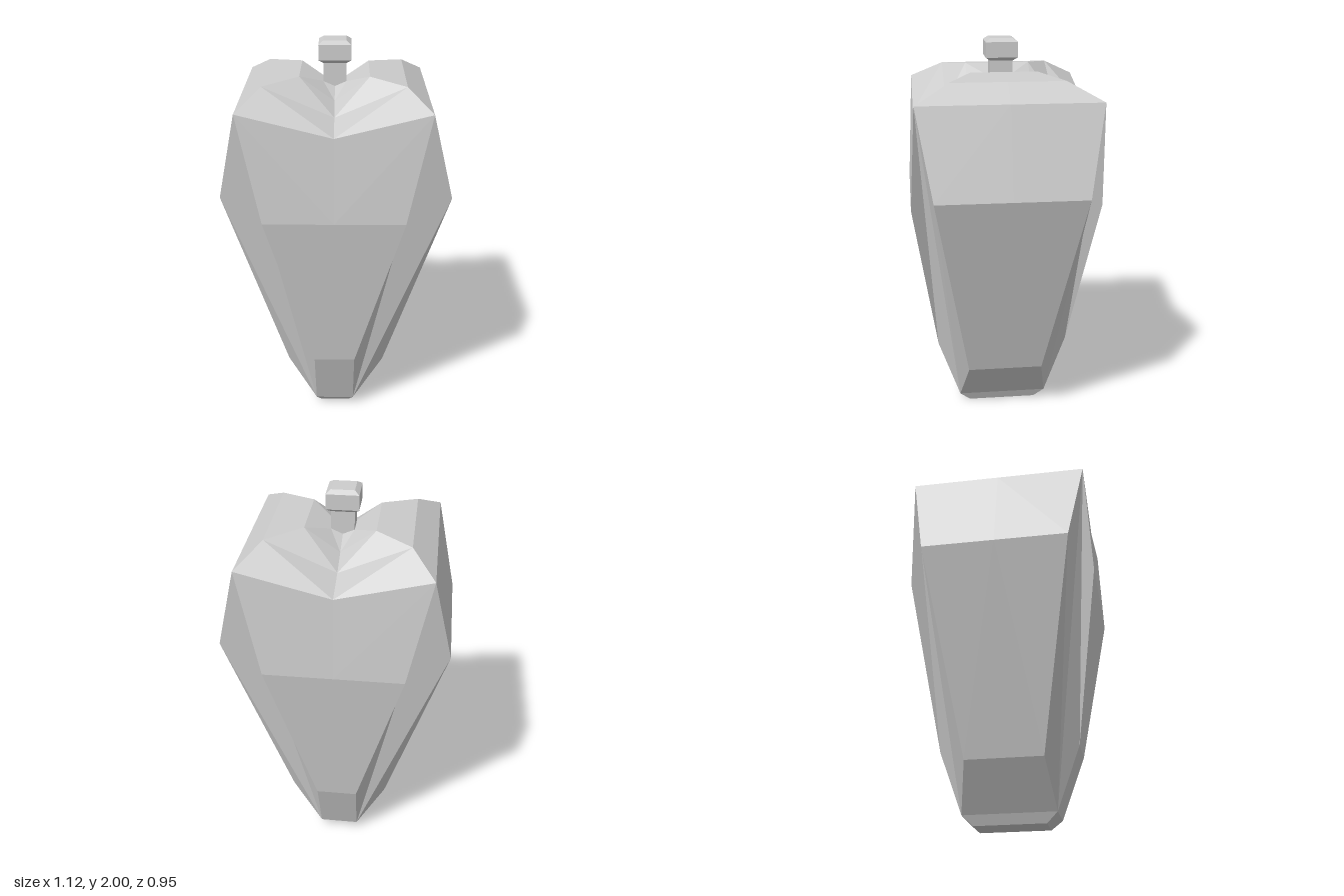
import * as THREE from 'three';

// Points are [x, y, z, xShift] for one quadrant (+x, +z); faces are mirrored to the other three.
const SHIFT = -0.01;

function mirrored(faces) {
  const pos = [];
  const put = ([x, y, z, dx = SHIFT], sx, sz) => pos.push(sx * x + dx, y, sz * z);
  for (const sx of [1, -1]) for (const sz of [1, -1]) for (const face of faces) {
    const f = sx * sz > 0 ? face : [...face].reverse();
    // keep the same diagonal on mirrored faces
    if (sx * sz < 0) f.unshift(f.pop());
    for (let i = 1; i < f.length - 1; i++) [f[0], f[i], f[i + 1]].forEach((p) => put(p, sx, sz));
  }
  const g = new THREE.BufferGeometry();
  g.setAttribute('position', new THREE.Float32BufferAttribute(pos, 3));
  g.computeVertexNormals();
  return g;
}

// Strip from the front centre line to the corner chain; midY lets the centre line dip
function frontStrip(chain, midY = {}) {
  const mid = (i) => [0, midY[i] ?? chain[i][1], chain[i][2]];
  return chain.slice(1).map((p, i) => [mid(i), chain[i], p, mid(i + 1)]);
}

// Strip from the corner chain round to the middle of the side
function sideStrip(chain) {
  const mid = (p) => [p[0], p[1], 0, p[3]];
  return chain.slice(1).map((p, i) => [chain[i], mid(chain[i]), mid(p), p]);
}

// Flat cap at the end of a chain
function cap([x, y, z], up) {
  const f = [[0, y, 0], [x, y, 0], [x, y, z], [0, y, z]];
  return up ? f.reverse() : f;
}

export function createModel() {
  const glass = new THREE.MeshStandardMaterial({ color: 0xcccccc });
  glass.name = 'pale grey';
  glass.flatShading = true;

  const group = new THREE.Group();
  const add = (name, faces) => {
    const mesh = new THREE.Mesh(mirrored(faces), glass);
    mesh.name = name;
    group.add(mesh);
  };

  // Key corners of the faceted heart
  const foot = [0.078, 0, 0.18];
  const base = [0.1, 0.05, 0.235];
  const frontLow = [0.105, 0.37, 0.35];
  const frontHigh = [0.345, 1.21, 0.475];
  const sideLow = [0.255, 0.28, 0.195, -0.005];
  const sideHigh = [0.562, 1.305, 0.37, -0.002];
  const shoulder = [0.46, 1.745, 0.447];
  const lobe = [0.345, 1.83, 0.28];
  const crest = [0.17, 1.85, 0.165];
  const neckBase = [0.057, 1.8, 0.057];

  // Front and back panels, side panels and the ridged corners between them
  add('bottleBody', [
    cap(foot, false),
    ...frontStrip([foot, base, frontLow, frontHigh, shoulder], { 4: 1.63 }),
    ...sideStrip([foot, base, sideLow, sideHigh, shoulder]),
    [frontLow, base, shoulder, frontHigh],
    [base, sideLow, sideHigh, shoulder],
  ]);

  // Two lobes with a valley along the middle
  const top = [shoulder, lobe, crest, neckBase];
  add('heartTop', [...frontStrip(top, { 0: 1.63, 1: 1.68, 2: 1.73, 3: 1.775 }), ...sideStrip(top)]);

  // Square neck
  const neck = [neckBase, [0.057, 1.895, 0.057]];
  add('neck', [...frontStrip(neck, { 0: 1.775 }), ...sideStrip(neck)]);

  // Bevelled stopper
  const stopper = [[0.057, 1.89, 0.057], [0.08, 1.907, 0.08], [0.08, 1.983, 0.08], [0.057, 2, 0.057]];
  add('stopper', [
    cap(stopper[0], false),
    ...frontStrip(stopper),
    ...sideStrip(stopper),
    cap(stopper[3], true),
  ]);

  return group;
}
